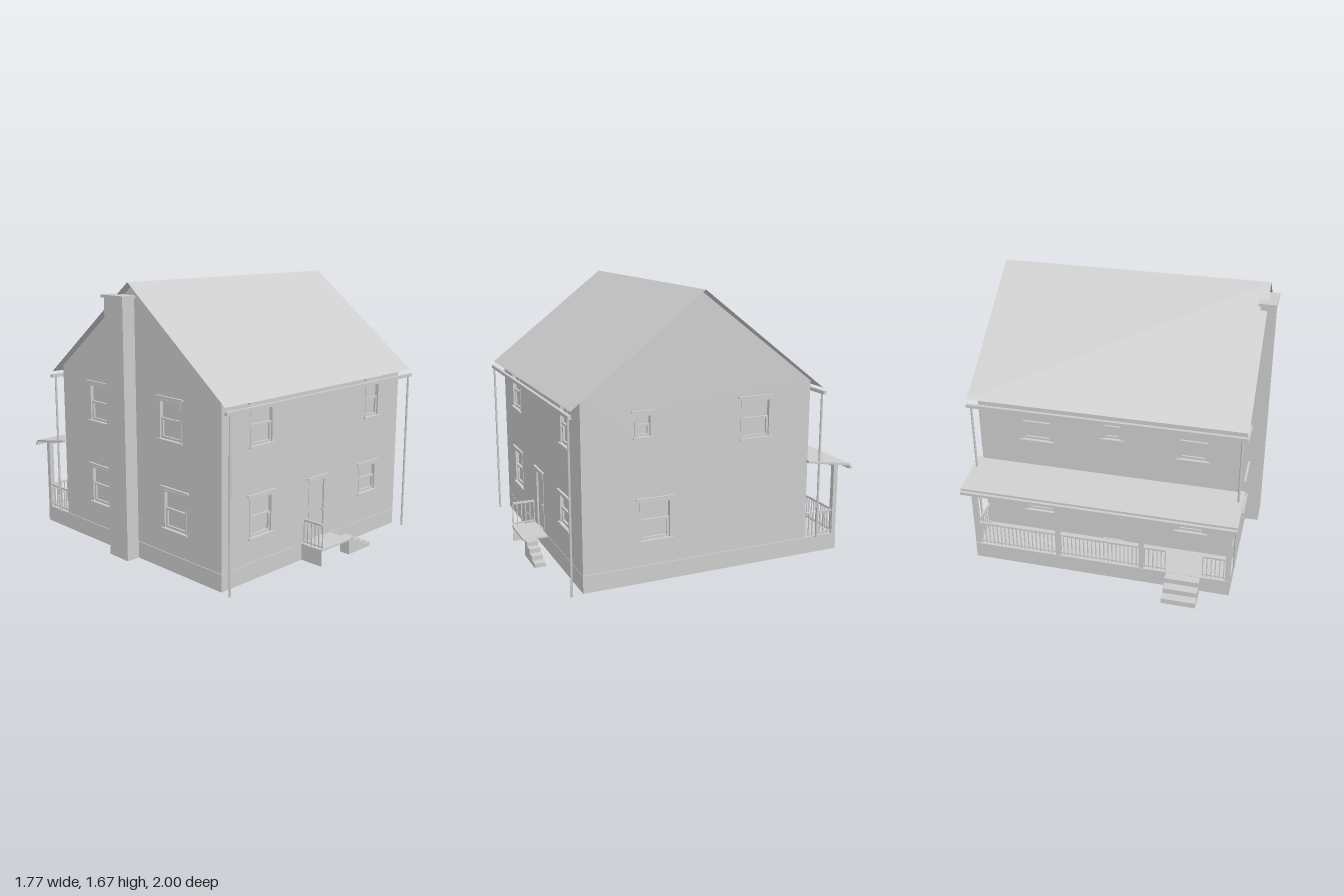
import * as THREE from 'three';

const paint = new THREE.MeshStandardMaterial({ color: 0xcccccc, side: THREE.DoubleSide });
paint.name = 'lightGrey';

// House body limits
const X0 = -0.79, X1 = 0.84, Z0 = -0.61, Z1 = 0.84, ZP = -0.84, RIDGE = 0.115, T = 0.03;

export function createModel() {
  const root = new THREE.Group();
  root.name = 'house';

  const add = (name, geo, parent = root) => {
    const m = new THREE.Mesh(geo, paint);
    m.name = name;
    parent.add(m);
    return m;
  };
  // Box given by its limits on each axis
  const box = (name, x0, x1, y0, y1, z0, z1, parent = root) => {
    const m = add(name, new THREE.BoxGeometry(x1 - x0, y1 - y0, z1 - z0), parent);
    m.position.set((x0 + x1) / 2, (y0 + y1) / 2, (z0 + z1) / 2);
    return m;
  };
  const group = (name, parent = root) => {
    const g = new THREE.Group();
    g.name = name;
    parent.add(g);
    return g;
  };

  // Recessed window or door, drawn in the plane of its wall
  const opening = (parent, a, b, y0, y1, door) => {
    const g = group(door ? 'door' : 'window', parent);
    const f = 0.012, mid = (y0 + y1) / 2;
    box('pane', a, b, y0, y1, -0.026, -0.02, g);
    box('leftFrame', a, a + f, y0, y1, -0.02, 0.003, g);
    box('rightFrame', b - f, b, y0, y1, -0.02, 0.003, g);
    box('topFrame', a, b, y1 - f, y1, -0.02, 0.003, g);
    box('lintel', a - 0.02, b + 0.02, y1 + 0.012, y1 + 0.021, 0, 0.014, g);
    if (door) {
      box('doorPanel', a + f, b - f, y0, y1 - f, -0.02, -0.008, g);
      box('knob', b - 0.03, b - 0.02, y0 + 0.165, y0 + 0.175, -0.008, 0.008, g);
    } else {
      box('sill', a - 0.01, b + 0.01, y0 - 0.009, y0, -0.02, 0.014, g);
      box('meetingRail', a + f, b - f, mid - 0.006, mid + 0.006, -0.02, -0.006, g);
      box('lowerSashRail', a + f, b - f, y0, y0 + 0.014, -0.02, -0.008, g);
      for (const u of [a + f, b - 2 * f]) box('sashStile', u, u + f, y0, mid, -0.02, -0.008, g);
    }
  };

  // Wall with holes: s turns the world coordinate along the wall into the local one
  const wall = (name, outline, s, angle, x, z, holes) => {
    const g = group(name);
    g.position.set(x, 0, z);
    g.rotation.y = angle;
    const shape = new THREE.Shape(outline.map(([u, y]) => new THREE.Vector2(s * u, y)));
    for (const [p, q, y0, y1, door] of holes) {
      const a = Math.min(s * p, s * q), b = Math.max(s * p, s * q);
      shape.holes.push(new THREE.Path([[a, y0], [a, y1], [b, y1], [b, y0]]
        .map(c => new THREE.Vector2(...c))));
      opening(g, a, b, y0, y1, door);
    }
    const geo = new THREE.ExtrudeGeometry(shape, { depth: T, bevelEnabled: false });
    add(name + 'Panel', geo.translate(0, 0, -T), g);
  };
  const flat = [[X0, 0.107], [X1, 0.107], [X1, 1.1], [X0, 1.1]];
  const gable = [[Z0, 0.107], [Z1, 0.107], [Z1, 1.1], [RIDGE, 1.653], [Z0, 1.1]];
  wall('frontWall', flat, 1, 0, 0, Z1, [
    [-0.57, -0.38, 0.258, 0.49], [0.44, 0.62, 0.295, 0.475],
    [-0.57, -0.38, 0.79, 1.02], [0.485, 0.63, 0.79, 1.02],
    [-0.055, 0.1, 0.11, 0.482, true]]);
  wall('backWall', flat, -1, Math.PI, 0, Z0, [
    [0.37, 0.57, 0.79, 1.02], [-0.07, 0.05, 0.865, 1.02], [-0.6, -0.41, 0.79, 1.02],
    [0.37, 0.57, 0.258, 0.49], [-0.6, -0.41, 0.258, 0.49],
    [-0.09, 0.07, 0.11, 0.482, true]]);
  wall('leftGableWall', gable, -1, Math.PI / 2, X1, 0, [
    [0.3, 0.5, 0.258, 0.49], [0.42, 0.525, 0.868, 0.997], [-0.34, -0.14, 0.79, 1.02]]);
  wall('rightGableWall', gable, 1, -Math.PI / 2, X0, 0, [
    [-0.33, -0.13, 0.79, 1.02], [-0.33, -0.13, 0.258, 0.49],
    [0.33, 0.52, 0.79, 1.02], [0.36, 0.56, 0.258, 0.49]]);

  // Hollow foundation carrying the floor and the back porch
  const base = group('foundation');
  box('floor', X0, X1, 0.095, 0.104, ZP, Z1, base);
  box('frontFooting', X0, X1, 0, 0.1, Z1 - 0.015, Z1, base);
  box('backFooting', X0, X1, 0, 0.1, ZP, ZP + 0.015, base);
  box('leftFooting', X1 - 0.015, X1, 0, 0.1, ZP, Z1, base);
  box('rightFooting', X0, X0 + 0.015, 0, 0.1, ZP, Z1, base);

  // Thin sloping sheets of the main roof
  for (const d of [1, -1]) {
    const z = RIDGE + d * 0.79, y = 1.058;
    const g = new THREE.BufferGeometry();
    g.setAttribute('position', new THREE.Float32BufferAttribute(
      [-0.83, 1.668, RIDGE, -0.83, y, z, 0.88, y, z, 0.88, 1.668, RIDGE], 3));
    g.setIndex(d > 0 ? [0, 1, 2, 0, 2, 3] : [0, 2, 1, 0, 3, 2]);
    g.computeVertexNormals();
    add(d > 0 ? 'frontRoof' : 'backRoof', g);
  }

  // Gutters and downpipes
  for (const [name, z, low] of [['front', 0.91, 0], ['back', -0.69, 0.1]]) {
    box(name + 'Gutter', -0.83, 0.88, 1.015, 1.035, z - 0.01, z + 0.01);
    for (const x of [-0.797, 0.85]) {
      const pipe = add(name + 'Downpipe', new THREE.CylinderGeometry(0.007, 0.007, 1.02 - low, 8));
      pipe.position.set(x, (1.02 + low) / 2, z);
    }
  }

  // Chimney on the right side
  box('chimneyShaft', -0.877, X0, 0, 1.575, -0.045, 0.125);
  box('chimneyCap', -0.888, -0.777, 1.575, 1.592, -0.06, 0.14);

  // Railing along a straight run between two floor points
  const railing = (name, xa, za, xb, zb) => {
    const g = group(name), len = Math.hypot(xb - xa, zb - za);
    g.position.set(xa, 0, za);
    g.rotation.y = -Math.atan2(zb - za, xb - xa);
    box('topRail', 0, len, 0.248, 0.26, -0.007, 0.007, g);
    box('bottomRail', 0, len, 0.116, 0.124, -0.005, 0.005, g);
    const n = Math.max(2, Math.round(len / 0.026));
    for (let i = 0; i <= n; i++) {
      const u = len * i / n;
      box('baluster', u - 0.003, u + 0.003, 0.104, 0.25, -0.003, 0.003, g);
    }
  };

  // Back porch: roof, beam, posts, railings and steps
  const slope = new THREE.Shape([[0.6, 0.595], [0.9, 0.545], [0.9, 0.558], [0.6, 0.608]]
    .map(c => new THREE.Vector2(...c)));
  const porchRoof = add('porchRoof',
    new THREE.ExtrudeGeometry(slope, { depth: 1.7, bevelEnabled: false }));
  porchRoof.rotation.y = Math.PI / 2;
  porchRoof.position.x = -0.825;
  porchRoof.geometry.scale(-1, 1, 1);
  porchRoof.geometry.rotateY(0);
  // Keep the faces outward after the mirrored profile, and run the sheet along x
  porchRoof.rotation.y = 0;
  porchRoof.geometry.dispose();
  porchRoof.geometry = new THREE.ExtrudeGeometry(slope, { depth: 1.7, bevelEnabled: false })
    .rotateY(Math.PI / 2);
  box('porchGutter', -0.825, 0.875, 0.525, 0.543, -0.918, -0.898);
  box('porchBeam', X0, X1, 0.535, 0.556, -0.833, -0.812);
  const posts = [-0.775, -0.24, 0.29, 0.825];
  for (const x of posts) box('porchPost', x - 0.015, x + 0.015, 0.1, 0.558, -0.837, -0.808);
  railing('porchRailing', -0.39, -0.822, 0.825, -0.822);
  railing('porchShortRailing', -0.775, -0.822, -0.62, -0.822);
  railing('porchLeftRailing', 0.825, -0.81, 0.825, -0.62);
  railing('porchRightRailing', -0.775, -0.81, -0.775, -0.62);
  for (let i = 0; i < 3; i++) {
    box('backStep', -0.61, -0.4, 0, 0.102 - 0.034 * i, i ? -0.84 - 0.053 * i : ZP, -0.893 - 0.0535 * i);
  }

  // Front stoop: open landing on a side plate, steps to the left
  box('landing', -0.115, 0.165, 0.095, 0.105, Z1, 0.997);
  box('landingSupport', -0.11, -0.1, 0, 0.095, Z1, 0.99);
  railing('landingRailing', -0.1, 0.85, -0.1, 0.99);
  for (let i = 0; i < 4; i++) {
    box('frontStep', 0.165 + 0.054 * i, 0.219 + 0.054 * i, 0, 0.104 - 0.026 * i, 0.92, 0.988);
  }
  return root;
}
